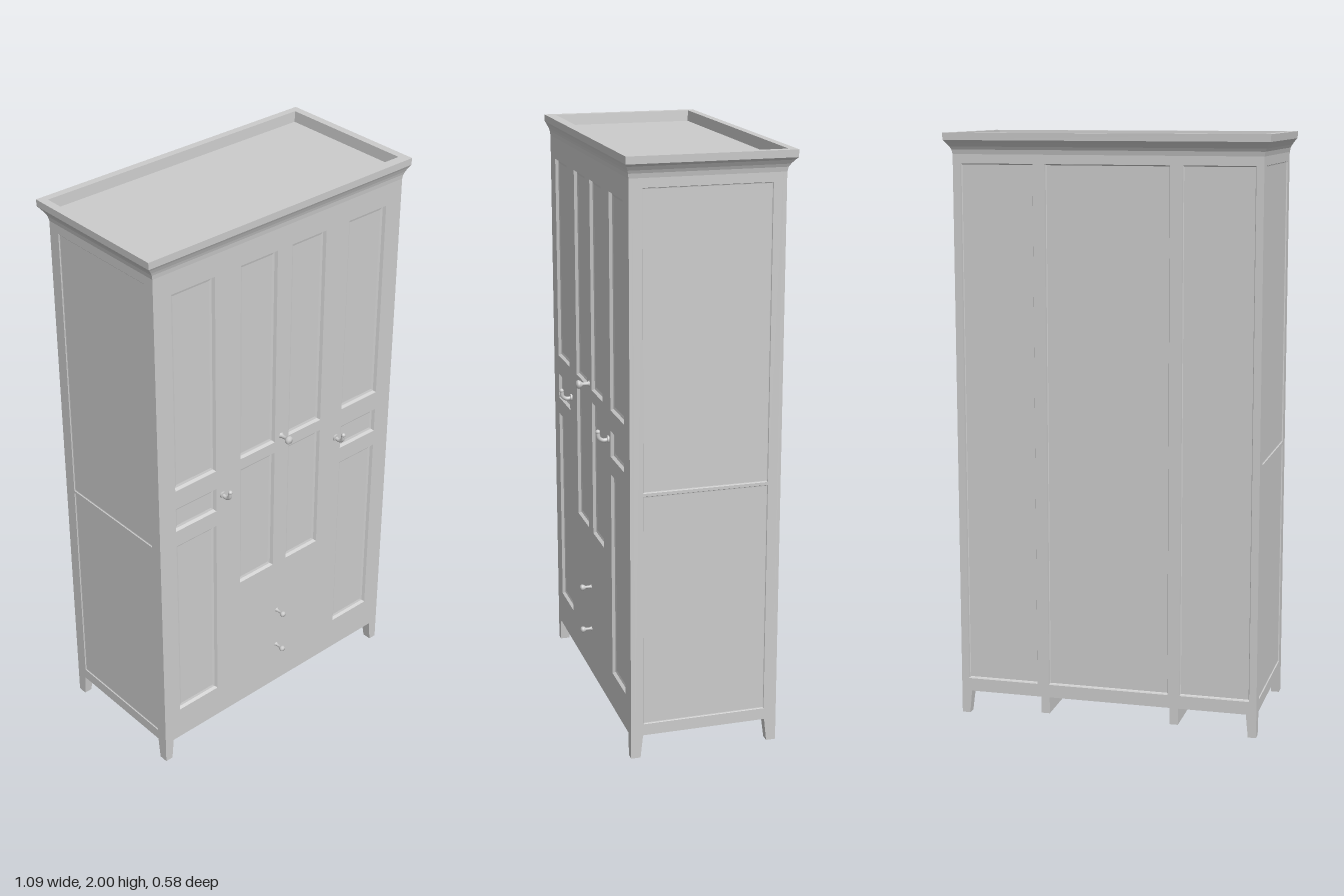
import * as THREE from 'three';

const material = new THREE.MeshStandardMaterial({ color: 0xcccccc });

function add(parent, name, geometry, x = 0, y = 0, z = 0) {
  const mesh = new THREE.Mesh(geometry, material);
  mesh.name = name;
  mesh.position.set(x, y, z);
  parent.add(mesh);
  return mesh;
}

// Skin over stacked rectangles [x0, x1, z0, z1, y]; the last one is closed
function loftRects(levels) {
  const pos = [];
  const rings = levels.map(([x0, x1, z0, z1, y]) => [[x0, y, z1], [x1, y, z1], [x1, y, z0], [x0, y, z0]]);
  const quad = (a, b, c, d) => pos.push(...a, ...b, ...c, ...a, ...c, ...d);
  for (let i = 0; i < rings.length - 1; i++) {
    for (let k = 0; k < 4; k++) {
      const n = (k + 1) % 4;
      quad(rings[i][k], rings[i][n], rings[i + 1][n], rings[i + 1][k]);
    }
  }
  quad(...rings[rings.length - 1]);
  const geometry = new THREE.BufferGeometry();
  geometry.setAttribute('position', new THREE.Float32BufferAttribute(pos, 3));
  geometry.computeVertexNormals();
  return geometry;
}

// Flat frame with recessed panels [x0, x1, y0, y1]; its face lies at local z = 0
function panelledFace(name, x0, x1, y0, y1, panels, depth, slope) {
  const group = new THREE.Group();
  group.name = name;
  const rect = (path, a, b, c, d) => path.moveTo(a, c).lineTo(b, c).lineTo(b, d).lineTo(a, d).closePath();
  const shape = rect(new THREE.Shape(), x0, x1, y0, y1);
  for (const [a, b, c, d] of panels) {
    shape.holes.push(rect(new THREE.Path(), a, b, c, d));
    const w = (b - a) / 2, h = (d - c) / 2;
    const ring = (inset, y) => [-w + inset, w - inset, -h + inset, h - inset, y];
    const geometry = loftRects([ring(0, 0), ring(slope * 0.4, -depth * 0.75), ring(slope, -depth * 0.9)]);
    add(group, 'recessedPanel', geometry.rotateX(Math.PI / 2), (a + b) / 2, (c + d) / 2, 0);
  }
  add(group, 'frame', new THREE.ExtrudeGeometry(shape, { depth, bevelEnabled: false }), 0, 0, -depth);
  return group;
}

// Turned knob pointing to +z
function knob(parent, x, y, r, length) {
  const profile = [[0.7, 0], [0.45, 0.15], [0.4, 0.5], [0.9, 0.68], [1, 0.82], [0.8, 0.95], [0, 1]]
    .map(([a, b]) => new THREE.Vector2(a * r, b * length));
  add(parent, 'knob', new THREE.LatheGeometry(profile, 16).rotateX(Math.PI / 2), x, y, FRONT);
}

const W = 0.52, FRONT = 0.245, BACK = -0.262, BASE = 0.08, TOP = 1.96;
const MID = (FRONT + BACK) / 2;

export function createModel() {
  const model = new THREE.Group();
  model.name = 'wardrobe';

  // Carcass behind the panelled faces
  add(model, 'carcass', new THREE.BoxGeometry(2 * W - 0.008, TOP - BASE, FRONT - BACK - 0.026), 0, (TOP + BASE) / 2, MID);

  // Front: narrow side doors and a pair of centre doors over two drawers
  const frontPanels = [];
  for (const [a, b] of [[-0.452, -0.28], [0.285, 0.452]]) {
    frontPanels.push([a, b, 1.14, 1.855], [a, b, 0.98, 1.07], [a, b, 0.205, 0.92]);
  }
  for (const [a, b] of [[-0.176, -0.023], [0.038, 0.185]]) {
    frontPanels.push([a, b, 1.14, 1.855], [a, b, 0.625, 1.098]);
  }
  const front = panelledFace('front', -W, W, BASE, TOP, frontPanels, 0.013, 0.014);
  front.position.z = FRONT;
  model.add(front);

  // Back: three tall boards between stiles
  const backPanels = [[-0.495, -0.245], [-0.205, 0.215], [0.255, 0.495]].map(([a, b]) => [a, b, 0.125, 1.9]);
  const back = panelledFace('back', -W, W, BASE, TOP, backPanels, 0.013, 0.004);
  back.position.z = BACK;
  back.rotation.y = Math.PI;
  model.add(back);

  // Sides: almost flush panels meeting at a thin rail
  const half = (FRONT - BACK) / 2 - 0.013;
  for (const s of [-1, 1]) {
    const panels = [[-0.21, 0.21, 0.12, 0.916], [-0.21, 0.21, 0.926, 1.9]];
    const side = panelledFace('side', -half, half, BASE, TOP, panels, 0.004, 0.004);
    side.position.set(s * W, 0, MID);
    side.rotation.y = s * Math.PI / 2;
    model.add(side);
  }

  // Cornice with a raised rim around the sunken top
  const cornice = [[0, 1.93], [0.003, 1.945], [0.008, 1.955], [0.017, 1.968], [0.024, 1.976], [0.025, 2]]
    .map(([o, y]) => [-W - o, W + o, BACK - o * 1.15, FRONT + o * 0.6, y]);
  cornice.push([-0.518, 0.518, -0.265, 0.225, 2], [-0.515, 0.515, -0.263, 0.222, 1.963]);
  add(model, 'cornice', loftRects(cornice));

  // Corner feet, tapering on the inner faces
  for (const s of [-1, 1]) {
    for (const f of [-1, 1]) {
      const outer = f > 0 ? FRONT : BACK;
      const level = (w, y) => [
        Math.min(s * W, s * (W - w)), Math.max(s * W, s * (W - w)),
        Math.min(outer, outer - f * w * 1.15), Math.max(outer, outer - f * w * 1.15), y];
      const foot = loftRects([level(0, 0), level(0.028, 0), level(0.036, BASE + 0.002)]);
      add(model, 'foot', foot);
    }
    // Runner under the floor
    add(model, 'runner', new THREE.BoxGeometry(0.03, 0.074, 0.4), s * 0.228, 0.045, -0.025);
  }

  // Knobs on the centre doors and drawers
  knob(model, 0.006, 1.155, 0.015, 0.047);
  knob(model, 0, 0.41, 0.011, 0.041);
  knob(model, 0, 0.25, 0.011, 0.041);

  // Upturned handles on the side doors
  for (const x of [-0.252, 0.262]) {
    const path = new THREE.CatmullRomCurve3([
      new THREE.Vector3(x, 1.035, FRONT - 0.005), new THREE.Vector3(x, 1.032, FRONT + 0.02),
      new THREE.Vector3(x, 1.042, FRONT + 0.034), new THREE.Vector3(x, 1.062, FRONT + 0.037)]);
    add(model, 'handle', new THREE.TubeGeometry(path, 16, 0.007, 10));
    add(model, 'handleTip', new THREE.SphereGeometry(0.008, 12, 8), x, 1.062, FRONT + 0.037);
    add(model, 'handlePlate', new THREE.CylinderGeometry(0.012, 0.012, 0.008, 16).rotateX(Math.PI / 2), x, 1.035, FRONT + 0.002);
  }

  return model;
}
